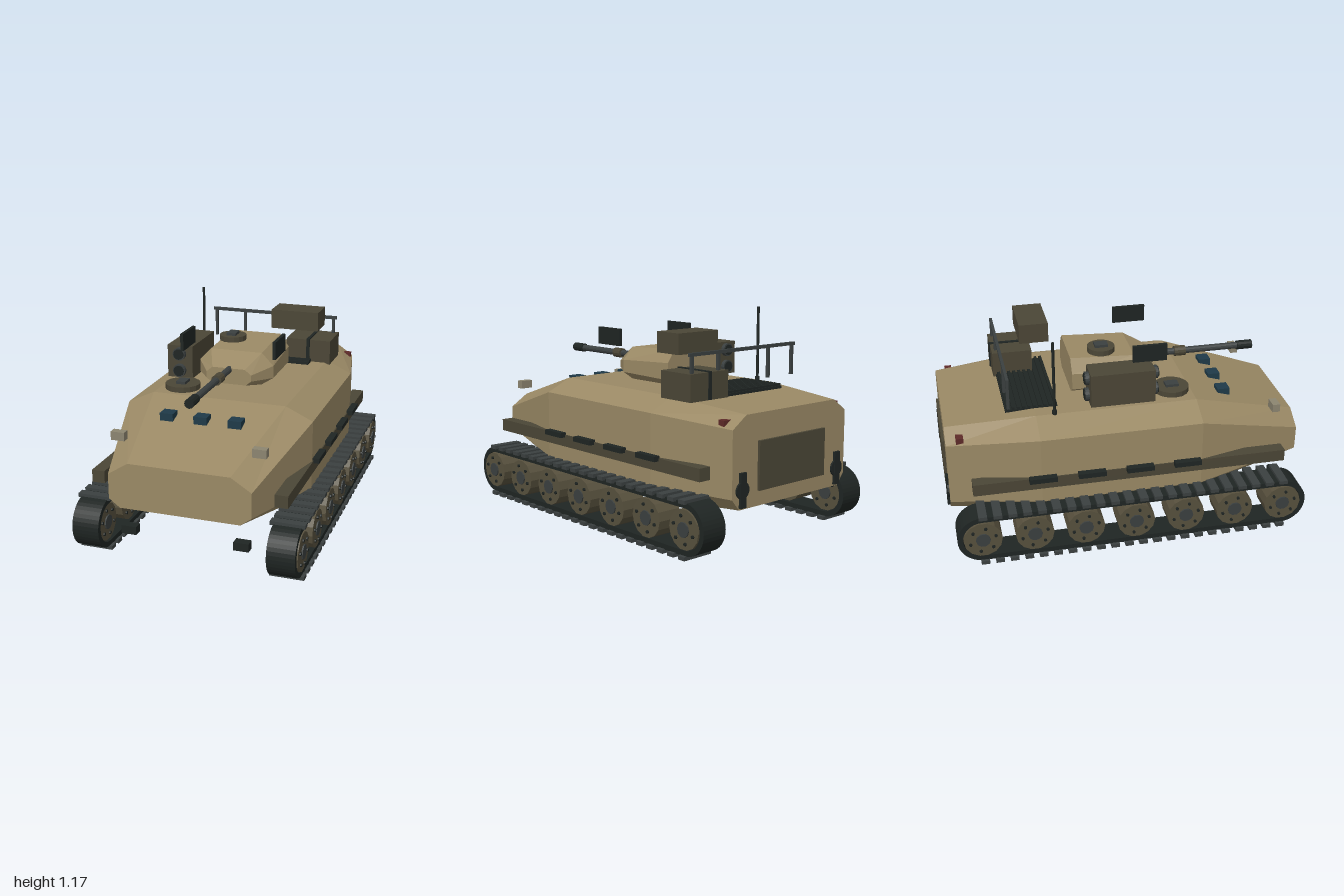
import * as THREE from 'three';

const mat = (color) => new THREE.MeshStandardMaterial({ color, flatShading: true });
const TAN = mat(0x9a8965), OLIVE = mat(0x4b4636), WHEEL = mat(0x57503d), DARK = mat(0x1f2523);
const STEEL = mat(0x3b4040), GLASS = mat(0x1f3a48), LAMP = mat(0x8c8570), RED = mat(0x5e2a28);

export function createModel() {
  const root = new THREE.Group();

  const add = (name, geo, material, x = 0, y = 0, z = 0, parent = root) => {
    const m = new THREE.Mesh(geo, material);
    m.name = name;
    m.position.set(x, y, z);
    parent.add(m);
    return m;
  };
  // Box given by its extents on each axis
  const box = (name, material, [x0, x1], [y0, y1], [z0, z1], parent = root) =>
    add(name, new THREE.BoxGeometry(x1 - x0, y1 - y0, z1 - z0), material,
      (x0 + x1) / 2, (y0 + y1) / 2, (z0 + z1) / 2, parent);
  const rodZ = (name, material, r, x, y, z0, z1, sides = 12) =>
    add(name, new THREE.CylinderGeometry(r, r, z1 - z0, sides).rotateX(Math.PI / 2), material, x, y, (z0 + z1) / 2);

  // Hull and turret: chamfered octagons lofted from front to back
  // station: z, top half width, top y, side half width, shoulder y, lower side y, bottom half width, bottom y
  const loft = (stations) => {
    const rings = stations.map(([z, tx, ty, sx, uy, ly, bx, by]) =>
      [[bx, by], [sx, ly], [sx, uy], [tx, ty], [-tx, ty], [-sx, uy], [-sx, ly], [-bx, by]].map(([x, y]) => [x, y, z]));
    const p = [];
    const tri = (a, b, c) => p.push(...a, ...b, ...c);
    for (let s = 0; s < rings.length - 1; s++) {
      const f = rings[s], b = rings[s + 1];
      for (let i = 0; i < 8; i++) {
        const j = (i + 1) % 8;
        tri(f[i], b[i], b[j]);
        tri(f[i], b[j], f[j]);
      }
    }
    const first = rings[0], last = rings[rings.length - 1];
    for (let i = 1; i < 7; i++) {
      tri(first[0], first[i], first[i + 1]);
      tri(last[0], last[i + 1], last[i]);
    }
    const g = new THREE.BufferGeometry();
    g.setAttribute('position', new THREE.Float32BufferAttribute(p, 3));
    g.computeVertexNormals();
    return g;
  };
  add('hull', loft([
    [1.0, 0.275, 0.57, 0.385, 0.50, 0.365, 0.325, 0.32],
    [0.4, 0.38, 0.75, 0.53, 0.68, 0.30, 0.44, 0.21],
    [-0.49, 0.38, 0.75, 0.53, 0.68, 0.30, 0.44, 0.21],
    [-0.98, 0.335, 0.715, 0.43, 0.65, 0.30, 0.38, 0.24],
  ]), TAN);
  add('turret', loft([
    [0.235, 0.095, 0.875, 0.13, 0.845, 0.81, 0.10, 0.785],
    [0.1, 0.15, 0.94, 0.218, 0.87, 0.80, 0.15, 0.755],
    [-0.26, 0.15, 0.957, 0.203, 0.885, 0.79, 0.15, 0.755],
  ]), TAN);

  // Gun
  rodZ('gunBarrel', STEEL, 0.019, 0, 0.865, 0.2, 0.78);
  rodZ('gunCollar', OLIVE, 0.029, 0, 0.865, 0.37, 0.435);
  rodZ('muzzle', DARK, 0.026, 0, 0.865, 0.745, 0.835);

  // Hatches with a periscope on top
  const hatch = (name, x, y, z, r) => {
    add(name, new THREE.CylinderGeometry(r, r, 0.03, 16), OLIVE, x, y + 0.015, z);
    box(name + 'Periscope', STEEL, [x - 0.027, x + 0.027], [y + 0.03, y + 0.045], [z - 0.037, z + 0.037]);
  };
  hatch('turretHatch', -0.08, 0.953, -0.075, 0.077);
  hatch('driverHatch', -0.25, 0.755, 0.29, 0.098);

  // Vision blocks on the sloping front
  for (const x of [-0.21, -0.02, 0.17])
    box('visionBlock', GLASS, [x - 0.037, x + 0.037], [0.68, 0.722], [0.565, 0.635]);

  // Twin tube launcher
  box('launcherBox', OLIVE, [-0.39, -0.24], [0.77, 0.957], [-0.19, 0.165]);
  for (const y of [0.815, 0.912]) {
    rodZ('launchTube', STEEL, 0.037, -0.315, y, -0.212, 0.188, 16);
    rodZ('launchTubeMouth', DARK, 0.03, -0.315, y, -0.216, 0.195, 16);
  }

  // Side screens beside the turret
  for (const s of [-1, 1])
    box('sideScreen', DARK, [s * 0.267 - 0.009, s * 0.267 + 0.009], [0.955, 1.052], [0.065, 0.255]);

  // Engine grille
  box('grilleBase', DARK, [-0.295, 0.295], [0.74, 0.755], [-0.645, -0.36]);
  for (let i = 0; i < 10; i++) {
    const z = -0.63 + i * 0.029;
    box('grilleSlat', DARK, [-0.295, 0.295], [0.755, 0.767], [z - 0.008, z + 0.008]);
  }

  // Stowage boxes, strap, rail and antenna
  box('stowageBox', OLIVE, [0.14, 0.41], [0.74, 0.885], [-0.66, -0.435]);
  box('stowageStrap', DARK, [0.265, 0.285], [0.742, 0.89], [-0.667, -0.428]);
  box('upperStowageBox', OLIVE, [0.07, 0.355], [0.965, 1.077], [-0.51, -0.345]);
  box('railBar', STEEL, [-0.4, 0.4], [0.972, 0.99], [-0.644, -0.628]);
  for (const x of [-0.38, -0.19, 0.19, 0.38])
    box('railPost', STEEL, [x - 0.008, x + 0.008], [0.81, 0.975], [-0.644, -0.628]);
  add('antenna', new THREE.CylinderGeometry(0.008, 0.008, 0.42, 8), DARK, -0.375, 0.96, -0.388);
  add('antennaBase', new THREE.CylinderGeometry(0.014, 0.014, 0.03, 8), DARK, -0.375, 0.755, -0.388);

  // Rear door
  box('rearDoor', OLIVE, [-0.25, 0.25], [0.32, 0.575], [-0.995, -0.975]);

  // Track belt: rounded loop with an open middle
  const BELT_Z = 0.015, AXLE_Y = 0.155, HALF = 0.845;
  const loop = (Type, r) => {
    const s = new Type();
    s.absarc(HALF, 0, r, -Math.PI / 2, Math.PI / 2, false);
    s.absarc(-HALF, 0, r, Math.PI / 2, Math.PI * 1.5, false);
    s.closePath();
    return s;
  };
  const beltShape = loop(THREE.Shape, 0.137);
  beltShape.holes.push(loop(THREE.Path, 0.108));
  const beltGeo = new THREE.ExtrudeGeometry(beltShape, { depth: 0.15, bevelEnabled: false, curveSegments: 10 })
    .translate(0, 0, -0.075).rotateY(Math.PI / 2);
  const discX = (r, w, sides) => new THREE.CylinderGeometry(r, r, w, sides).rotateZ(Math.PI / 2);
  const wheelGeo = discX(0.105, 0.145, 14), hubGeo = discX(0.04, 0.16, 10), boltGeo = discX(0.009, 0.163, 6);
  const padGeo = new THREE.BoxGeometry(0.185, 0.021, 0.046);

  // Running gear and fittings repeated on both sides
  for (const s of [-1, 1]) {
    const side = s > 0 ? 'left' : 'right';
    const both = (a, b) => (s > 0 ? [a, b] : [-b, -a]);

    const track = new THREE.Group();
    track.name = side + 'Track';
    track.position.set(s * 0.533, AXLE_Y, BELT_Z);
    root.add(track);
    add('trackBelt', beltGeo, DARK, 0, 0, 0, track);
    for (let i = 0; i < 22; i++) {
      const z = -HALF + 0.005 + i * 0.08;
      for (const y of [-0.1445, 0.1415]) add('trackPad', padGeo, STEEL, 0, y, z, track);
    }
    for (let i = 0; i < 7; i++) {
      const z = HALF - i * HALF / 3;
      add('roadWheel', wheelGeo, WHEEL, s * 0.008, 0, z, track);
      add('wheelHub', hubGeo, STEEL, s * 0.008, 0, z, track);
      for (let k = 0; k < 6; k++) {
        const a = k * Math.PI / 3 + 0.3;
        add('wheelBolt', boltGeo, DARK, s * 0.008, Math.sin(a) * 0.072, z + Math.cos(a) * 0.072, track);
      }
    }

    box(side + 'SideSkirt', OLIVE, both(0.465, 0.536), [0.387, 0.455], [-0.86, 0.88]);
    for (const z of [0.315, 0.048, -0.218, -0.485])
      box(side + 'SkirtBlock', DARK, both(0.53, 0.567), [0.44, 0.468], [z - 0.075, z + 0.075]);
    box(side + 'Headlight', LAMP, both(0.345, 0.42), [0.637, 0.683], [0.835, 0.877]);
    box(side + 'TailLight', RED, both(0.37, 0.435), [0.655, 0.69], [-0.925, -0.885]);
    box(side + 'TowBlock', DARK, both(0.268, 0.35), [0.145, 0.19], [0.89, 0.94]);
    box(side + 'RearTowBar', DARK, both(0.342, 0.382), [0.25, 0.43], [-0.995, -0.97]);
    rodZ(side + 'RearTowRing', DARK, 0.045, s * 0.362, 0.34, -0.99, -0.975, 14);
  }
  return root;
}
